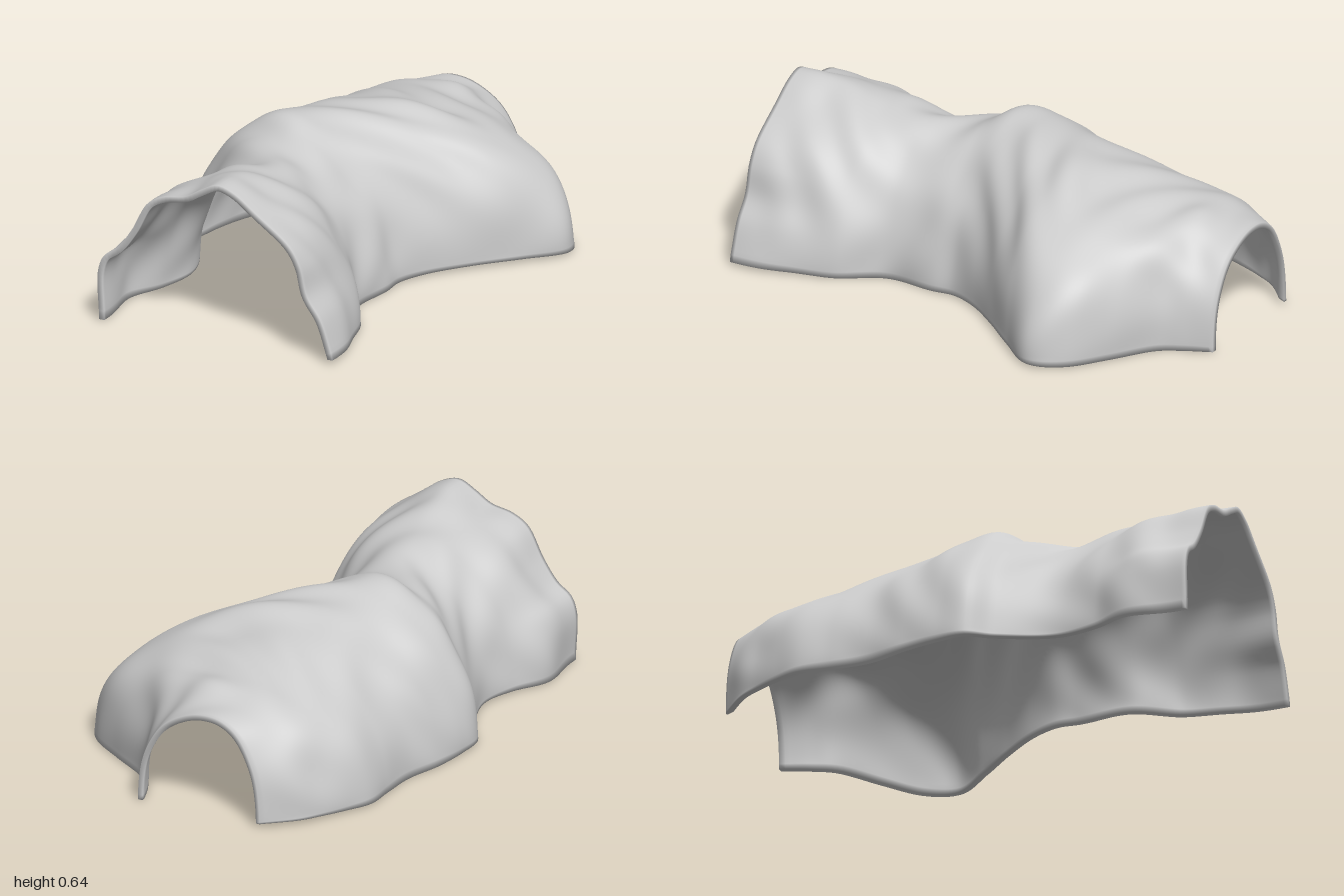
import * as THREE from 'three';

const ACROSS = 90, ALONG = 130, THICK = 0.023, END = 0.996;

// Stations along the tunnel: z, left edge, right edge, crown height, crown x, fullness of each flank
const STATIONS = [
  [-0.996, -0.35, 0.185, 0.415, -0.13, 2.15, 2.2],
  [-0.89, -0.46, 0.23, 0.43, -0.12, 2.2, 2.3],
  [-0.80, -0.515, 0.29, 0.46, -0.10, 2.2, 2.4],
  [-0.70, -0.565, 0.45, 0.47, -0.10, 2.2, 2.35],
  [-0.60, -0.605, 0.60, 0.49, -0.10, 2.1, 2.3],
  [-0.46, -0.60, 0.665, 0.52, -0.08, 2.05, 2.2],
  [-0.30, -0.60, 0.55, 0.57, -0.05, 2.0, 2.25],
  [-0.15, -0.64, 0.42, 0.58, -0.10, 1.95, 2.15],
  [0.00, -0.66, 0.305, 0.60, -0.17, 1.95, 1.9],
  [0.12, -0.655, 0.25, 0.605, -0.20, 1.95, 1.8],
  [0.21, -0.59, 0.25, 0.56, -0.19, 1.95, 1.8],
  [0.43, -0.50, 0.235, 0.535, -0.13, 2.0, 1.85],
  [0.60, -0.53, 0.345, 0.57, -0.10, 2.0, 1.8],
  [0.78, -0.615, 0.375, 0.60, -0.08, 1.9, 1.75],
  [0.90, -0.615, 0.41, 0.62, -0.07, 1.85, 1.7],
  [0.996, -0.57, 0.44, 0.64, -0.06, 1.85, 1.6],
];

// Craggy outline of the front mouth
const MOUTH = [
  [-0.57, 0.02], [-0.575, 0.2], [-0.55, 0.265], [-0.49, 0.31], [-0.43, 0.39], [-0.36, 0.51],
  [-0.29, 0.55], [-0.2, 0.57], [-0.13, 0.61], [-0.06, 0.64], [0.01, 0.62], [0.1, 0.56],
  [0.25, 0.45], [0.3, 0.37], [0.33, 0.26], [0.39, 0.17], [0.44, 0.03],
];

const spaced = (pts) => {
  const curve = new THREE.CatmullRomCurve3(pts, false, 'centripetal');
  curve.arcLengthDivisions = 400;
  return curve.getSpacedPoints(ACROSS);
};

// Arch made of two superellipse quarters meeting at the crown
function arch([left, right, top, crown, nL, nR]) {
  const pts = [];
  for (let i = 0; i <= 40; i++) {
    const a = Math.PI * (1 - i / 40);
    const c = Math.cos(a), s = Math.max(0, Math.sin(a));
    const n = c < 0 ? nL : nR;
    const half = c < 0 ? crown - left : right - crown;
    pts.push(new THREE.Vector3(
      crown + Math.sign(c) * half * Math.pow(Math.abs(c), 2 / n),
      0.015 + (top - 0.015) * Math.pow(s, 2 / n), 0));
  }
  return spaced(pts);
}

function surface(positions, index) {
  const g = new THREE.BufferGeometry();
  g.setAttribute('position', new THREE.Float32BufferAttribute(positions, 3));
  g.setIndex(index);
  g.computeVertexNormals();
  return g;
}

// Quads between neighbouring rows of points
function gridIndex(rows, cols, closed) {
  const index = [];
  for (let j = 0; j < rows - 1; j++) {
    for (let i = 0; i < (closed ? cols : cols - 1); i++) {
      const k = (i + 1) % cols;
      const a = j * cols + i, b = j * cols + k, c = a + cols, d = b + cols;
      index.push(a, c, b, b, c, d);
    }
  }
  return index;
}

// Rounded rocky lumps, on a gently warped grid
function bump(u, z) {
  const p = u + 0.04 * Math.sin(7 * z + 1), q = z + 0.07 * Math.sin(9 * u);
  return 0.008 * Math.sin(27 * p + 0.5) * Math.sin(17 * q + 1.1) +
    0.006 * Math.sin(16 * p + 2) * Math.cos(25 * q);
}

function tunnelGeometry() {
  const spline = new THREE.CubicInterpolant(
    STATIONS.map((s) => s[0]), STATIONS.flatMap((s) => s.slice(1)), 6, new Float32Array(6));
  const mouth = spaced(MOUTH.map(([x, y]) => new THREE.Vector3(x, y, 0)));
  const cols = ACROSS + 1, rows = ALONG + 1;

  // Outer skin, easing into the craggy mouth at the front
  const skin = [];
  for (let j = 0; j < rows; j++) {
    const z = END * (2 * j / ALONG - 1);
    const w = THREE.MathUtils.smoothstep(z, 0.6, END);
    arch([...spline.evaluate(z)]).forEach((p, i) => {
      p.lerp(mouth[i], w);
      skin.push(p.x, p.y, z);
    });
  }
  const base = surface(skin, gridIndex(rows, cols, false));
  const pos = base.attributes.position, nor = base.attributes.normal;

  // Each ring runs over the outer skin and back under the inner one
  const points = [];
  const ring = cols * 2;
  for (let j = 0; j < rows; j++) {
    const z = pos.getZ(j * cols);
    const calm = 1 - 0.8 * THREE.MathUtils.smoothstep(Math.abs(z), 0.8, END);
    const end = j === 0 || j === ALONG ? 0 : 1;
    const add = (i, depth) => {
      const k = j * cols + i, u = i / ACROSS;
      const foot = Math.sqrt(Math.max(0, Math.sin(Math.PI * u)));
      const d = bump(u, z) * calm * foot - depth;
      const y = pos.getY(k) + nor.getY(k) * d;
      const hem = 0.012 + 0.008 * Math.sin(5 * z + 9 * u);
      points.push(pos.getX(k) + nor.getX(k) * d, i === 0 || i === ACROSS ? hem : y,
        THREE.MathUtils.clamp(z + nor.getZ(k) * d * end, -END, END));
    };
    for (let i = 0; i < cols; i++) add(i, 0);
    for (let i = cols - 1; i >= 0; i--) add(i, THICK);
  }

  // Close the rims at both openings; shared corners keep them softly rounded
  const index = gridIndex(rows, ring, true);
  const last = ALONG * ring;
  for (let i = 0; i < ACROSS; i++) {
    const a = i, b = i + 1, c = ring - 1 - i, d = ring - 2 - i;
    index.push(a, b, c, b, d, c);
    index.push(last + a, last + c, last + b, last + b, last + c, last + d);
  }
  return surface(points, index);
}

export function createModel() {
  const model = new THREE.Group();
  model.name = 'caveTunnel';
  const shell = new THREE.Mesh(tunnelGeometry(),
    new THREE.MeshStandardMaterial({ color: 0xcccccc, side: THREE.DoubleSide }));
  shell.name = 'rockShell';
  model.add(shell);
  return model;
}
